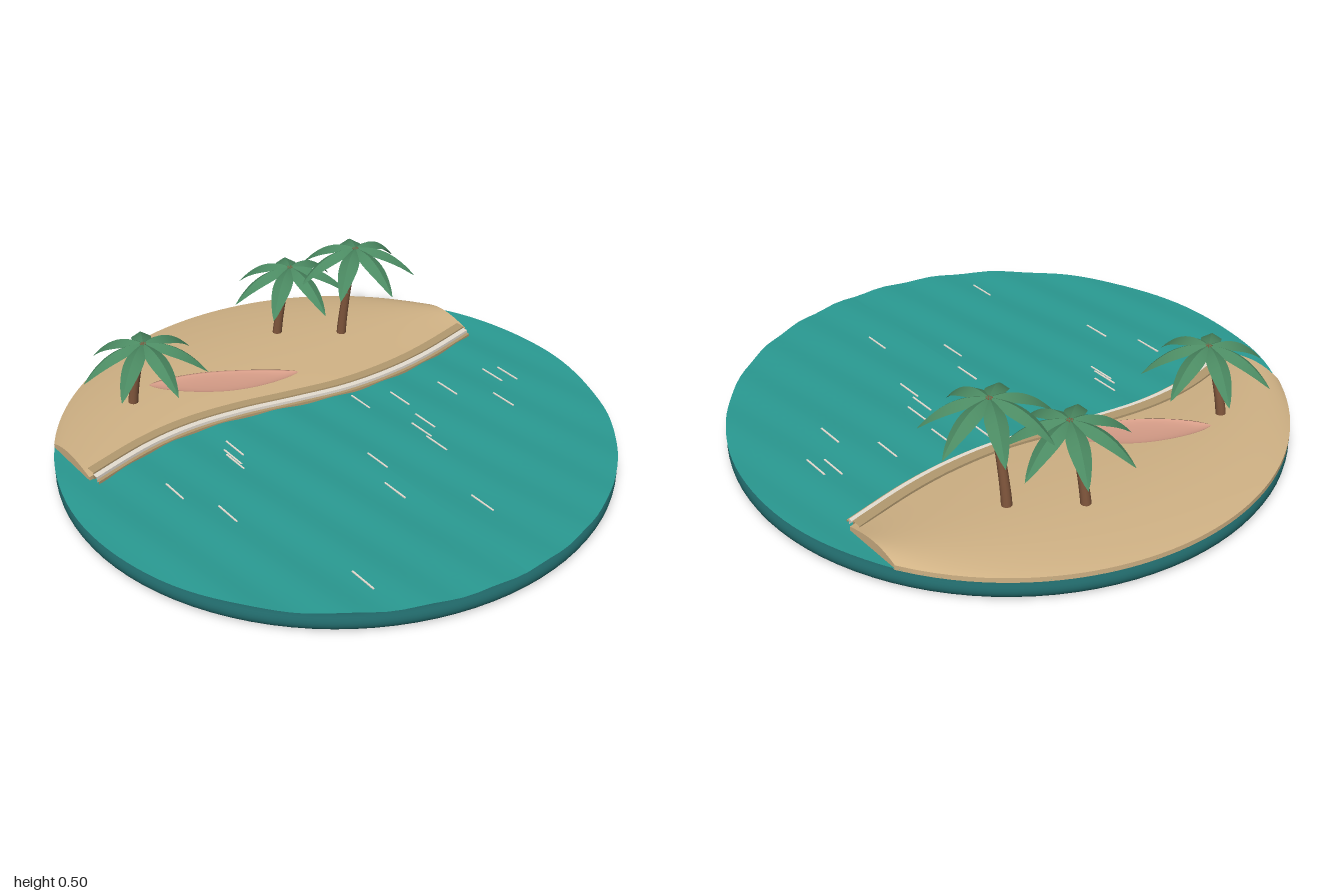
import * as THREE from 'three';
import { toCreasedNormals } from 'three/addons/utils/BufferGeometryUtils.js';

const material = (name, color, side = THREE.FrontSide) => {
  const m = new THREE.MeshStandardMaterial({ color, side });
  m.name = name;
  return m;
};

// Surface from a rule: point(u, v) returns [x, y, z] for u, v in 0..1
function surface(nu, nv, point) {
  const positions = [], index = [];
  for (let i = 0; i <= nu; i++) {
    for (let j = 0; j <= nv; j++) positions.push(...point(i / nu, j / nv));
  }
  for (let i = 0; i < nu; i++) {
    for (let j = 0; j < nv; j++) {
      const a = i * (nv + 1) + j, b = a + nv + 1;
      index.push(a, a + 1, b, b, a + 1, b + 1);
    }
  }
  const g = new THREE.BufferGeometry();
  g.setAttribute('position', new THREE.Float32BufferAttribute(positions, 3));
  g.setIndex(index);
  g.computeVertexNormals();
  return g;
}

// Waterline, as x for each z
const shoreCurve = new THREE.SplineCurve([
  [-0.85, -0.232], [-0.6, -0.182], [-0.4, -0.165], [-0.2, -0.176], [0, -0.22],
  [0.2, -0.27], [0.4, -0.297], [0.6, -0.285], [0.85, -0.225],
].map(([z, x]) => new THREE.Vector2(z, x)));
const shorePoints = shoreCurve.getPoints(160);
function shoreX(z) {
  const i = shorePoints.findIndex((p) => p.x >= z);
  if (i < 0) return shorePoints[160].y;
  if (i === 0) return shorePoints[0].y;
  const a = shorePoints[i - 1], b = shorePoints[i];
  return a.y + (b.y - a.y) * (z - a.x) / (b.x - a.x);
}

const waterY = (x, z) => 0.076 + 0.003 * Math.sin(z * 30 + x * 4) + 0.001 * Math.sin(x * 9);

export function createModel() {
  const model = new THREE.Group();
  model.name = 'beachIsland';
  const D = THREE.DoubleSide;
  const deep = material('deep water', 0x1f6465);
  const water = material('water', 0x2a9a92, D);
  const sand = material('sand', 0xd0b285, D);
  const wetSand = material('wet sand', 0xb39a70, D);
  const foam = material('foam', 0xe6ded2, D);
  const bark = material('bark', 0x80563c);
  const leaf = material('leaf', 0x4b8a62, D);
  const boardPaint = material('board pink', 0xd59c87);

  const add = (parent, name, geometry, mat) => {
    const mesh = new THREE.Mesh(geometry, mat);
    mesh.name = name;
    parent.add(mesh);
    return mesh;
  };

  // Base disc with a rounded rim
  const r = 0.0275;
  const rim = [new THREE.Vector2(0, 0)];
  for (let i = 0; i <= 10; i++) {
    const a = -Math.PI / 2 + Math.PI * i / 10;
    rim.push(new THREE.Vector2(1 - r + r * Math.cos(a), r + r * Math.sin(a)));
  }
  rim.push(new THREE.Vector2(0, 2 * r));
  add(model, 'baseDisc', new THREE.LatheGeometry(rim, 96), deep);

  // Rippled water sheet
  add(model, 'waterSurface', surface(40, 128, (u, v) => {
    const a = v * Math.PI * 2, x = u * Math.cos(a), z = u * Math.sin(a);
    return [x, waterY(x, z), z];
  }), water);

  // Sand: low mound with a short skirt all round
  const sandHeight = (t) => 0.088 + 0.023 * Math.sin(Math.PI * Math.pow(t, 0.85));
  const nu = 50, nv = 28;
  add(model, 'sandBeach', toCreasedNormals(surface(nu, nv, (u, v) => {
    const row = Math.round(u * nu), col = Math.round(v * nv);
    const k = Math.min(Math.max(row - 1, 0), nu - 2) / (nu - 2);
    const t = Math.min(Math.max(col - 1, 0), nv - 2) / (nv - 2);
    const z = -0.855 + 1.71 * k;
    const west = -Math.sqrt(1 - z * z), east = shoreX(z) - 0.04;
    const edge = row === 0 || row === nu || col === 0 || col === nv;
    return [west + (east - west) * t, edge ? 0.07 : sandHeight(t), z];
  }), 0.6), sand);

  // Stepped bands along the shore
  const band = (name, from, to, top, mat) => {
    const section = [[from, 0.07], [from, top], [to, top], [to, 0.07]];
    add(model, name, toCreasedNormals(surface(60, 3, (u, v) => {
      const z = -0.84 + 1.68 * u, [dx, y] = section[Math.round(v * 3)];
      return [shoreX(z) + dx, y, z];
    }), 0.6), mat);
  };
  band('wetSandBand', -0.074, -0.036, 0.1, wetSand);
  band('foamBand', -0.036, -0.014, 0.094, foam);
  band('shallowsBand', -0.014, 0, 0.083, wetSand);

  // Small glints on the ripples
  const glints = [
    [0.08, -0.76], [0.05, -0.71], [0.21, -0.62], [0.02, -0.51], [-0.03, -0.32], [0.14, -0.3],
    [0.18, -0.25], [0.28, -0.235], [-0.1, -0.19], [0.64, -0.13], [0.24, 0], [0.41, 0.06],
    [-0.13, 0.35], [-0.09, 0.385], [-0.06, 0.395], [0.72, 0.44], [0.18, 0.585], [-0.03, 0.66],
  ];
  for (const [x, z] of glints) {
    add(model, 'waterGlint', new THREE.BoxGeometry(0.11, 0.004, 0.006), foam)
      .position.set(x, waterY(x, z) + 0.001, z);
  }

  // Surfboard: elliptical sections along its length, nose turned up
  const board = add(model, 'surfboard', surface(32, 20, (u, v) => {
    const a = v * Math.PI * 2;
    const w = 0.072 * Math.pow(Math.sin(Math.PI * Math.pow(u, 0.95)), 0.75) || 0;
    const thick = 0.009 * Math.min(1, w / 0.03);
    const lift = 0.022 * Math.pow(Math.max(0, (u - 0.45) / 0.55), 2);
    return [w * Math.cos(a), lift + thick * Math.sin(a), 0.28 - 0.56 * u];
  }), boardPaint);
  board.position.set(-0.467, 0.121, 0.17);
  board.rotation.y = -0.54;

  // Drooping frond, folded along its midrib, pointing to +x
  const frond = toCreasedNormals(surface(12, 4, (u, v) => {
    const s = v * 2 - 1;
    const w = 0.036 * Math.pow(Math.sin(Math.PI * Math.pow(u, 0.85)), 0.8) || 0;
    const y = 0.035 * u - 0.15 * Math.pow(u, 2.2);
    return [0.228 * u, y - Math.abs(s) * w * 0.6, s * w];
  }), 0.6);

  // Palms: foot x, foot z, crown x, crown y, crown z
  const palms = [
    [-0.515, -0.415, -0.455, 0.495, -0.437],
    [-0.667, -0.212, -0.61, 0.412, -0.24],
    [-0.565, 0.505, -0.51, 0.37, 0.475],
  ];
  for (const [fx, fz, cx, cy, cz] of palms) {
    const palm = new THREE.Group();
    palm.name = 'palmTree';
    // Bent, tapering trunk
    const trunk = new THREE.CylinderGeometry(0.012, 0.019, 1, 12, 10);
    const p = trunk.attributes.position;
    for (let i = 0; i < p.count; i++) {
      const t = p.getY(i) + 0.5, bend = Math.pow(t, 1.35);
      p.setXYZ(i, p.getX(i) + fx + (cx - fx) * bend, 0.095 + (cy - 0.095) * t,
        p.getZ(i) + fz + (cz - fz) * bend);
    }
    trunk.computeVertexNormals();
    add(palm, 'trunk', trunk, bark);
    // Crown of seven fronds
    for (let i = 0; i < 7; i++) {
      const f = add(palm, 'frond', frond, leaf);
      f.position.set(cx, cy, cz);
      f.rotation.y = -i * Math.PI * 2 / 7;
    }
    model.add(palm);
  }
  return model;
}
